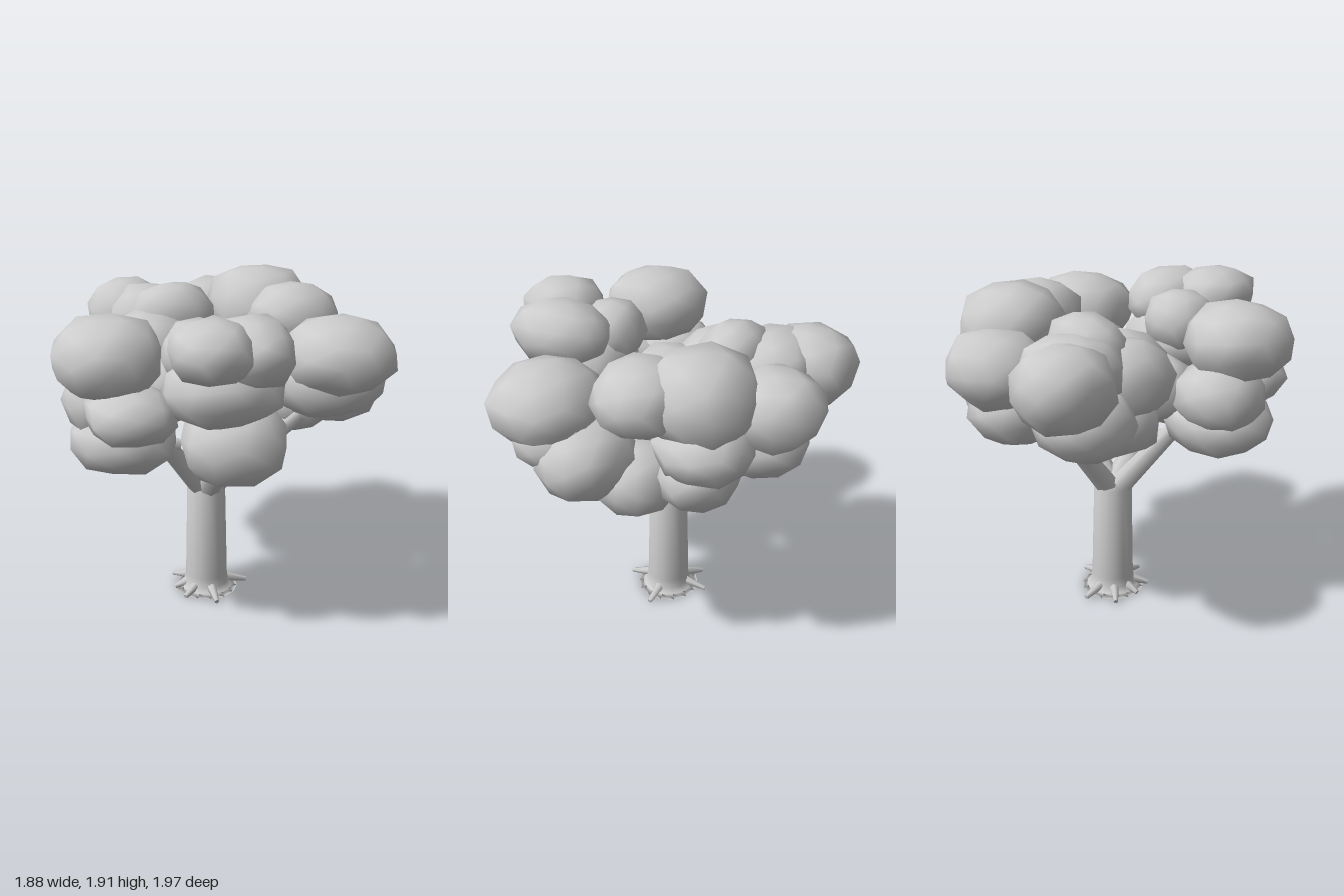
import * as THREE from 'three';
import { mergeVertices } from 'three/addons/utils/BufferGeometryUtils.js';

const TRUNK_X = -0.06;

// Small seeded generator for the irregular foliage
function seeded(seed) {
  let s = seed * 7919 + 17;
  return () => {
    s = (s * 16807) % 2147483647;
    return s / 2147483647;
  };
}

// Lumpy, slightly boxy low-poly ellipsoid with smooth normals
function clumpGeometry(rx, ry, rz, seed) {
  const raw = new THREE.IcosahedronGeometry(1, 1);
  raw.deleteAttribute('uv');
  raw.deleteAttribute('normal');
  const geo = mergeVertices(raw, 1e-4);
  const rand = seeded(seed);
  for (let i = 0; i < 5; i++) rand();
  geo.rotateY(rand() * 6.28);
  geo.rotateX(rand() * 1.5);
  const p = geo.attributes.position;
  const power = 2.4;
  for (let i = 0; i < p.count; i++) {
    const x = p.getX(i), y = p.getY(i), z = p.getZ(i);
    const sum = Math.abs(x) ** power + Math.abs(y) ** power + Math.abs(z) ** power;
    const k = sum ** (-1 / power) * (0.95 + rand() * 0.11);
    p.setXYZ(i, x * rx * k, y * ry * k, z * rz * k);
  }
  geo.computeVertexNormals();
  return geo;
}

// Tapered limb between two points
function limb(name, a, b, r0, r1, sides, material) {
  const from = new THREE.Vector3(...a), to = new THREE.Vector3(...b);
  const dir = to.clone().sub(from);
  const mesh = new THREE.Mesh(new THREE.CylinderGeometry(r1, r0, dir.length(), sides), material);
  mesh.position.copy(from).addScaledVector(dir, 0.5);
  mesh.quaternion.setFromUnitVectors(new THREE.Vector3(0, 1, 0), dir.normalize());
  mesh.name = name;
  return mesh;
}

export function createModel() {
  const tree = new THREE.Group();
  tree.name = 'tree';
  const grey = new THREE.MeshStandardMaterial({ color: 0xcccccc });
  grey.name = 'plain grey';

  // Trunk with a flared foot
  const profile = [[0, 0], [0.19, 0], [0.155, 0.015], [0.135, 0.045], [0.127, 0.1], [0.114, 0.69], [0, 0.72]];
  const trunk = new THREE.Mesh(
    new THREE.LatheGeometry(profile.map(([r, y]) => new THREE.Vector2(r, y)), 14), grey);
  trunk.position.x = TRUNK_X;
  trunk.name = 'trunk';
  tree.add(trunk);

  // Small roots around the foot: angle and reach
  const roots = new THREE.Group();
  roots.name = 'roots';
  for (const [deg, reach] of [[0, 0.25], [85, 0.25], [135, 0.22], [175, 0.2], [219, 0.24], [264, 0.25]]) {
    const c = Math.cos(deg * Math.PI / 180), s = Math.sin(deg * Math.PI / 180);
    roots.add(limb('root', [TRUNK_X + c * 0.1, 0.05, s * 0.1],
      [TRUNK_X + c * reach, 0.015, s * reach], 0.032, 0.014, 6, grey));
  }
  tree.add(roots);

  // Main branches and short twigs: start, end, radii
  const branches = new THREE.Group();
  branches.name = 'branches';
  const limbs = [
    [[-0.02, 0.69, 0.01], [0.48, 1.15, 0.1], 0.07, 0.05],
    [[-0.1, 0.7, 0.03], [-0.42, 1.18, 0.25], 0.07, 0.045],
    [[-0.05, 0.7, 0.05], [0.0, 1.12, 0.48], 0.075, 0.055],
    [[-0.05, 0.7, -0.04], [-0.02, 1.25, -0.45], 0.07, 0.05],
    [[0.26, 0.96, 0.09], [0.36, 1.1, 0.17], 0.045, 0.035],
    [[-0.25, 1.02, 0.16], [-0.42, 1.07, 0.22], 0.04, 0.03],
    [[-0.04, 0.98, -0.23], [-0.22, 1.22, -0.32], 0.04, 0.03],
  ];
  for (const [a, b, r0, r1] of limbs) branches.add(limb('branch', a, b, r0, r1, 8, grey));
  tree.add(branches);

  // Foliage clumps: centre x, y, z and radii x, y, z
  const groups = {
    rightFrontFoliage: [
      [0.62, 1.58, 0.38, 0.31, 0.21, 0.3],
      [0.59, 1.41, 0.31, 0.31, 0.19, 0.27],
      [0.65, 1.33, 0.13, 0.29, 0.21, 0.26],
      [0.5, 1.18, -0.1, 0.24, 0.19, 0.23],
      [0.48, 1.67, -0.12, 0.27, 0.2, 0.25],
    ],
    backFoliage: [
      [0.34, 1.67, -0.4, 0.31, 0.25, 0.3],
      [0.41, 1.42, -0.46, 0.26, 0.17, 0.27],
      [0.4, 1.25, -0.43, 0.26, 0.19, 0.22],
      [0.09, 1.56, -0.73, 0.27, 0.21, 0.26],
      [0.05, 1.33, -0.62, 0.26, 0.2, 0.26],
      [-0.43, 1.58, -0.7, 0.25, 0.22, 0.27],
      [-0.4, 1.34, -0.54, 0.27, 0.2, 0.25],
      [-0.3, 1.6, -0.53, 0.27, 0.2, 0.26],
    ],
    middleFoliage: [
      [-0.35, 1.49, -0.21, 0.26, 0.23, 0.27],
      [-0.2, 1.65, -0.34, 0.24, 0.19, 0.19],
      [-0.3, 1.26, -0.25, 0.28, 0.2, 0.25],
      [-0.09, 1.44, 0.0, 0.29, 0.22, 0.25],
      [-0.3, 1.35, 0.12, 0.22, 0.18, 0.2],
      [0.22, 1.42, -0.04, 0.21, 0.18, 0.22],
    ],
    frontFoliage: [
      [-0.16, 1.75, 0.75, 0.22, 0.16, 0.24],
      [0.08, 1.7, 0.62, 0.22, 0.18, 0.29],
      [-0.06, 1.5, 0.56, 0.32, 0.2, 0.3],
      [-0.17, 1.65, 0.44, 0.2, 0.18, 0.2],
      [0.01, 1.17, 0.53, 0.29, 0.22, 0.28],
    ],
    leftFrontFoliage: [
      [-0.65, 1.64, 0.4, 0.29, 0.22, 0.3],
      [-0.55, 1.37, 0.54, 0.24, 0.15, 0.27],
      [-0.57, 1.17, 0.34, 0.29, 0.18, 0.3],
      [-0.65, 1.36, 0.26, 0.24, 0.2, 0.25],
    ],
  };
  let seed = 1;
  for (const [name, clumps] of Object.entries(groups)) {
    const group = new THREE.Group();
    group.name = name;
    for (const [x, y, z, rx, ry, rz] of clumps) {
      const clump = new THREE.Mesh(clumpGeometry(rx, ry, rz, seed++), grey);
      clump.position.set(x, y, z);
      clump.name = 'leafClump';
      group.add(clump);
    }
    tree.add(group);
  }
  return tree;
}
